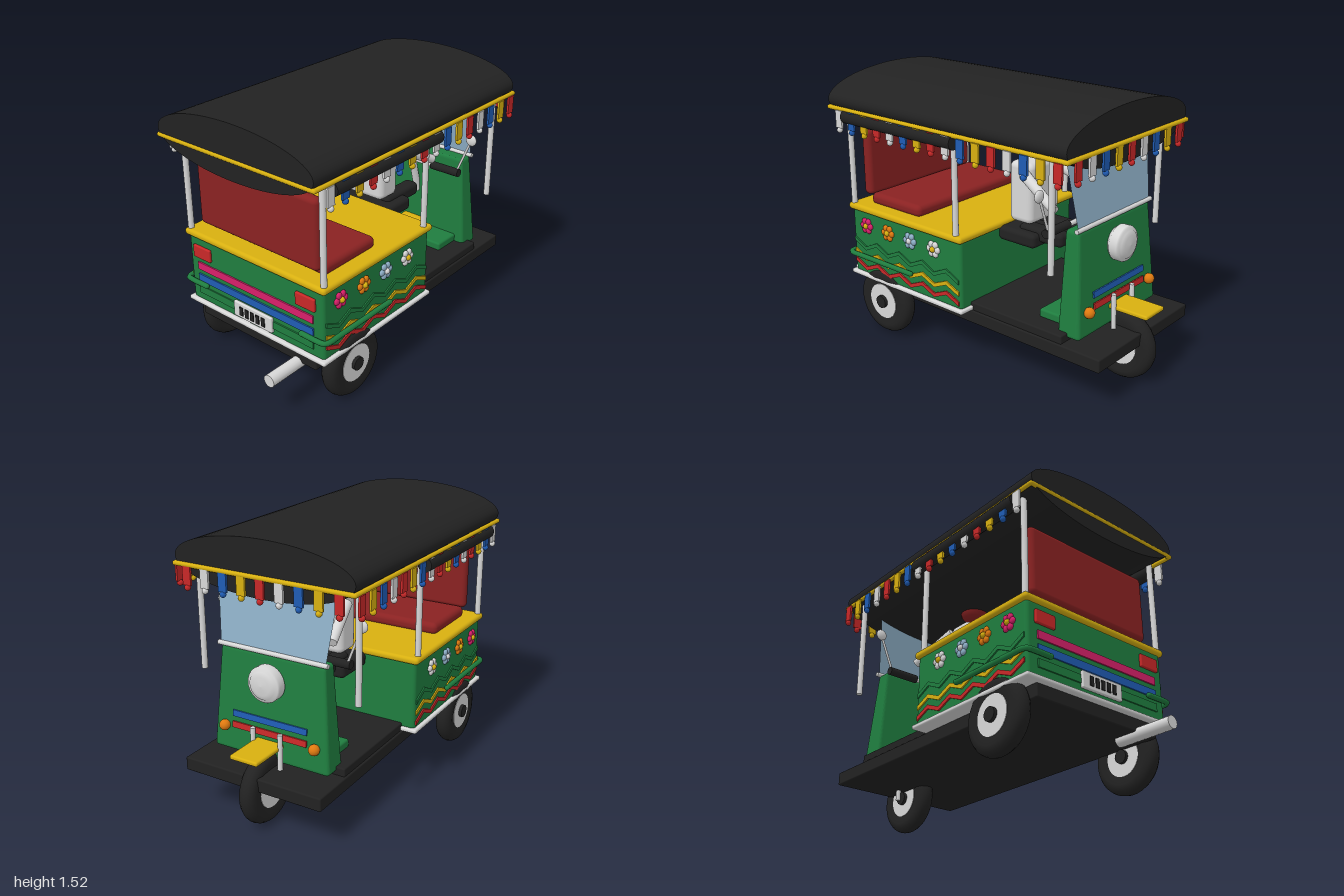
import * as THREE from 'three';
import { RoundedBoxGeometry } from 'three/addons/geometries/RoundedBoxGeometry.js';

const mat = (name, color, side = THREE.FrontSide) => {
  const m = new THREE.MeshStandardMaterial({ color, side });
  m.name = name;
  return m;
};

export function createModel() {
  const green = mat('green', 0x1f7d3f), black = mat('black', 0x222222), yellow = mat('yellow', 0xd8b010);
  const white = mat('white', 0xd8d8d8), maroon = mat('maroon', 0x8a2222), red = mat('red', 0xc82828);
  const blue = mat('blue', 0x1f5cb4), pink = mat('pink', 0xd8206a), orange = mat('orange', 0xe07a10);
  const glass = mat('glass', 0x8fb0c8, THREE.DoubleSide);
  const root = new THREE.Group();

  const add = (name, geo, m, x = 0, y = 0, z = 0, parent = root) => {
    const mesh = new THREE.Mesh(geo, m);
    mesh.name = name;
    mesh.position.set(x, y, z);
    parent.add(mesh);
    return mesh;
  };
  // Box given by its limits, with an optional rounded edge
  const box = (name, m, [x0, x1], [y0, y1], [z0, z1], r = 0) => {
    const s = [x1 - x0, y1 - y0, z1 - z0];
    const geo = r ? new RoundedBoxGeometry(...s, 3, r) : new THREE.BoxGeometry(...s);
    return add(name, geo, m, (x0 + x1) / 2, (y0 + y1) / 2, (z0 + z1) / 2);
  };
  // Round bar between two points
  const bar = (name, m, a, b, r, r2 = r) => {
    const p = new THREE.Vector3(...a), q = new THREE.Vector3(...b);
    const mesh = add(name, new THREE.CylinderGeometry(r2, r, p.distanceTo(q), 16), m);
    mesh.position.copy(p).lerp(q, 0.5);
    mesh.quaternion.setFromUnitVectors(new THREE.Vector3(0, 1, 0), q.sub(p).normalize());
    return mesh;
  };
  const ball = (name, m, r, x, y, z) => add(name, new THREE.SphereGeometry(r, 20, 14), m, x, y, z);

  // Chassis and floor
  box('chassis', black, [-0.42, 0.42], [0.24, 0.315], [-0.935, 0.79], 0.008);
  box('floor', black, [-0.41, 0.41], [0.31, 0.36], [-0.69, 0], 0.008);

  // Wheels
  const tyre = [[0.1, -0.04], [0.15, -0.05], [0.182, -0.04], [0.196, -0.02], [0.2, 0],
    [0.196, 0.02], [0.182, 0.04], [0.15, 0.05], [0.1, 0.04]].map(p => new THREE.Vector2(...p));
  const wheel = (name, x, z) => {
    const g = new THREE.Group();
    g.name = name;
    add('tyre', new THREE.LatheGeometry(tyre, 40), black, 0, 0, 0, g);
    add('rim', new THREE.CylinderGeometry(0.107, 0.107, 0.088, 32), white, 0, 0, 0, g);
    add('hub', new THREE.CylinderGeometry(0.038, 0.038, 0.125, 20), black, 0, 0, 0, g);
    g.rotation.z = Math.PI / 2;
    g.position.set(x, 0.2, z);
    root.add(g);
  };
  wheel('frontWheel', 0, -0.8);
  wheel('rearWheelLeft', 0.453, 0.56);
  wheel('rearWheelRight', -0.453, 0.56);

  // Passenger tub
  box('tub', green, [-0.486, 0.486], [0.33, 0.735], [-0.07, 0.8], 0.02);
  box('lowerTrim', white, [-0.505, 0.505], [0.315, 0.34], [-0.085, 0.82], 0.01);
  box('deck', yellow, [-0.505, 0.505], [0.725, 0.765], [-0.085, 0.815], 0.018);
  box('seatCushion', maroon, [-0.42, 0.42], [0.755, 0.825], [0.31, 0.71], 0.03);
  box('seatBack', maroon, [-0.42, 0.42], [0.805, 1.2], [0.705, 0.77], 0.028);

  // End panel details
  box('pinkStripe', pink, [-0.42, 0.42], [0.535, 0.58], [0.8, 0.808]);
  box('blueStripe', blue, [-0.42, 0.42], [0.462, 0.506], [0.8, 0.808]);
  box('greenStripe', green, [-0.42, 0.42], [0.385, 0.43], [0.8, 0.808]);
  box('plate', white, [-0.14, 0.14], [0.36, 0.452], [0.8, 0.82], 0.006);
  for (let i = -2; i <= 2; i++) {
    box('plateBar', black, [i * 0.04 - 0.012, i * 0.04 + 0.012], [0.38, 0.432], [0.82, 0.825]);
  }
  bar('exhaust', white, [0.29, 0.235, 0.65], [0.29, 0.235, 1], 0.035);

  // Zigzag bands on the tub sides
  const zigzag = (y, amp, w) => {
    const top = [], n = 9, z0 = -0.055, z1 = 0.785;
    for (let i = 0; i <= n; i++) top.push([z0 + (z1 - z0) * i / n, y + (i % 2 ? amp : -amp)]);
    const pts = [...top.map(([z, v]) => new THREE.Vector2(z, v - w / 2)),
      ...top.reverse().map(([z, v]) => new THREE.Vector2(z, v + w / 2))];
    return new THREE.ExtrudeGeometry(new THREE.Shape(pts), { depth: 0.008, bevelEnabled: false }).rotateY(-Math.PI / 2);
  };
  const flowers = [[0.675, pink, yellow], [0.495, orange, yellow], [0.315, glass, white], [0.13, white, yellow]];

  for (const s of [-1, 1]) {
    const span = (a, b) => s > 0 ? [a, b] : [-b, -a];
    box('tailLight', red, span(0.31, 0.44), [0.612, 0.686], [0.8, 0.818], 0.006);
    [[0.52, 0.022, green], [0.45, 0.02, yellow], [0.39, 0.02, red]].forEach(([y, amp, m]) =>
      add('zigzagBand', zigzag(y, amp, 0.024), m, s > 0 ? 0.494 : -0.486));

    for (const [z, petal, centre] of flowers) {
      const g = new THREE.Group();
      g.name = 'flower';
      g.position.set(s * 0.492, 0.645, z);
      root.add(g);
      for (let i = 0; i < 6; i++) {
        const a = i * Math.PI / 3;
        const p = add('petal', new THREE.SphereGeometry(0.019, 14, 10), petal, 0, 0.031 * Math.sin(a), 0.031 * Math.cos(a), g);
        p.scale.x = 0.65;
      }
      add('flowerCentre', new THREE.SphereGeometry(0.017, 14, 10), centre, s * 0.006, 0, 0, g);
    }

    // Corner bumper bent round the tub
    const path = new THREE.CatmullRomCurve3([[0.35, 0.818], [0.47, 0.818], [0.5, 0.812], [0.511, 0.79], [0.511, 0.7], [0.511, 0.3]]
      .map(([x, z]) => new THREE.Vector3(s * x, 0.455, z)), false, 'centripetal');
    add('cornerBumper', new THREE.TubeGeometry(path, 40, 0.015, 10), green);
    for (const [x, z] of [[0.35, 0.818], [0.511, 0.3]]) ball('bumperEnd', green, 0.015, s * x, 0.455, z);

    // Roof posts
    for (const [z, y] of [[0.785, 0.75], [-0.03, 0.75], [-0.67, 0.72]]) {
      bar('roofPost', white, [s * 0.478, y, z], [s * 0.478, 1.34, z], 0.017);
    }
    // Rolled side curtain
    bar('sideCurtain', black, [s * 0.52, 1.29, -0.07], [s * 0.52, 1.29, 0.77], 0.04);

    // Front fork, signal, handlebar grip and mirror
    bar('fork', white, [s * 0.085, 0.18, -0.795], [s * 0.085, 0.51, -0.785], 0.014);
    ball('turnSignal', orange, 0.03, s * 0.28, 0.47, -0.77);
    bar('grip', black, [s * 0.17, 0.865, -0.54], [s * 0.36, 0.865, -0.54], 0.024);
    bar('mirrorStem', white, [s * 0.34, 0.87, -0.545], [s * 0.42, 1.07, -0.55], 0.007);
    ball('mirror', white, 0.034, s * 0.425, 1.085, -0.55).scale.z = 0.45;

    // Driver limbs
    bar('arm', white, [s * 0.14, 1.06, -0.22], [s * 0.21, 0.935, -0.48], 0.032, 0.026);
    box('leg', black, span(0.04, 0.13), [0.688, 0.768], [-0.465, -0.17], 0.025);
  }

  // Driver and seat
  box('driverSeat', black, [-0.18, 0.18], [0.66, 0.742], [-0.32, -0.065], 0.025);
  box('torso', white, [-0.13, 0.13], [0.768, 1.115], [-0.257, -0.1], 0.035);
  ball('head', maroon, 0.085, 0, 1.245, -0.19);

  // Tapered front cowl
  const cowlGeo = new RoundedBoxGeometry(0.72, 0.575, 0.14, 3, 0.02);
  const cp = cowlGeo.attributes.position;
  for (let i = 0; i < cp.count; i++) {
    const t = cp.getY(i) / 0.575 + 0.5;
    cp.setX(i, cp.getX(i) * (1 - 0.12 * t));
    cp.setZ(i, 0.07 + (cp.getZ(i) - 0.07) * (1 - 0.38 * t) - 0.008 * t);
  }
  cowlGeo.computeVertexNormals();
  add('cowl', cowlGeo, green, 0, 0.6175, -0.695);
  box('footStep', green, [-0.3, 0.3], [0.355, 0.405], [-0.66, -0.46], 0.012);
  for (const [y, z, m] of [[0.548, -0.757, blue], [0.485, -0.763, red]]) {
    add('cowlStripe', new THREE.BoxGeometry(0.46, 0.034, 0.009), m, 0, y, z).rotation.x = 0.1;
  }
  box('frontMudguard', yellow, [-0.085, 0.085], [0.418, 0.443], [-0.99, -0.585], 0.01);

  // Headlight
  const lamp = [[0, 0.082], [0.05, 0.078], [0.075, 0.07], [0.08, 0.062], [0.092, 0.062], [0.098, 0.052], [0.098, 0.008], [0.09, 0], [0.06, -0.04], [0, -0.04]]
    .reverse().map(p => new THREE.Vector2(...p));
  add('headlight', new THREE.LatheGeometry(lamp, 32), white, 0, 0.77, -0.74).rotation.x = -Math.PI / 2;

  // Steering
  bar('steeringColumn', white, [0, 0.62, -0.64], [0, 0.865, -0.57], 0.022);
  bar('handlebar', white, [-0.2, 0.865, -0.545], [0.2, 0.865, -0.545], 0.014);

  // Windscreen
  const pane = new THREE.PlaneGeometry(0.64, 0.42);
  const wp = pane.attributes.position;
  for (let i = 0; i < wp.count; i++) {
    const top = wp.getY(i) > 0;
    wp.setXYZ(i, Math.sign(wp.getX(i)) * (top ? 0.365 : 0.32), top ? 1.32 : 0.91, top ? -0.655 : -0.716);
  }
  pane.computeVertexNormals();
  add('windscreen', pane, glass);
  bar('windscreenSill', white, [-0.335, 0.912, -0.716], [0.335, 0.912, -0.716], 0.013);

  // Lens-shaped canopy with a yellow rim
  const canopy = new THREE.CylinderGeometry(1, 1, 1.69, 64).rotateX(Math.PI / 2).scale(0.53, 0.15, 1);
  add('canopy', canopy, black, 0, 1.37, 0.055);
  const rx = 0.528, zf = -0.795, zb = 0.895, ry = 1.328;
  for (const s of [-1, 1]) {
    bar('rimSide', yellow, [s * rx, ry, zf], [s * rx, ry, zb], 0.013);
    for (const z of [zf, zb]) ball('rimCorner', yellow, 0.013, s * rx, ry, z);
  }
  for (const z of [zf, zb]) bar('rimEnd', yellow, [-rx, ry, z], [rx, ry, z], 0.013);

  // Hanging fringe along both sides and the windscreen end
  const pendant = (m, x, z, turned) => {
    const g = new THREE.Group();
    g.name = 'fringePendant';
    add('tab', new THREE.BoxGeometry(0.012, 0.1, 0.05), m, 0, 0, 0, g);
    add('bobble', new THREE.SphereGeometry(0.017, 12, 8), m, 0, -0.062, 0, g);
    g.position.set(x, 1.272, z);
    if (turned) g.rotation.y = Math.PI / 2;
    root.add(g);
  };
  const cycle = [white, blue, yellow, red];
  for (let i = 0; i < 16; i++) {
    for (const s of [-1, 1]) pendant(cycle[i % 4], s * 0.541, 0.8 - i * 0.1035, false);
  }
  for (let i = 0; i < 9; i++) pendant(cycle[3 - i % 4], -0.45 + i * 0.1125, -0.8, true);

  return root;
}
